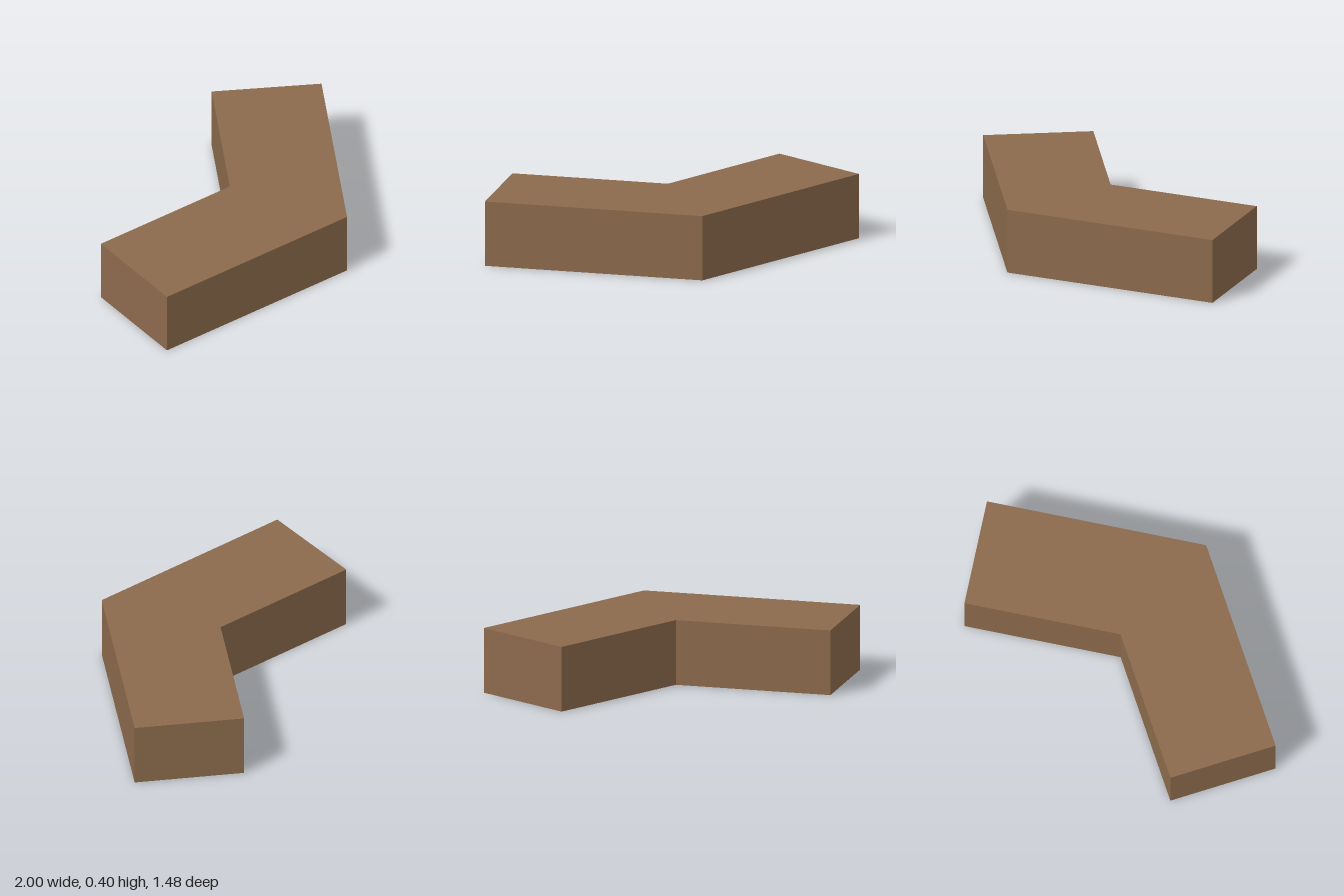
import * as THREE from 'three';

export function createModel() {
  const group = new THREE.Group();
  const brown = new THREE.MeshStandardMaterial({ color: 0x8b6a4c });
  brown.name = 'brown';

  // Plan outline of the bent block as [x, z]
  const outline = [
    [-1, 0.74], [0.333, 0.74], [1, -0.413],
    [0.429, -0.74], [-0.046, 0.082], [-1, 0.082],
  ];
  const shape = new THREE.Shape(outline.map(([x, z]) => new THREE.Vector2(x, -z)));

  // Extrude the outline and lay it flat on the ground
  const geometry = new THREE.ExtrudeGeometry(shape, { depth: 0.396, bevelEnabled: false });
  geometry.rotateX(-Math.PI / 2);

  const block = new THREE.Mesh(geometry, brown);
  block.name = 'angledBlock';
  group.add(block);
  return group;
}
